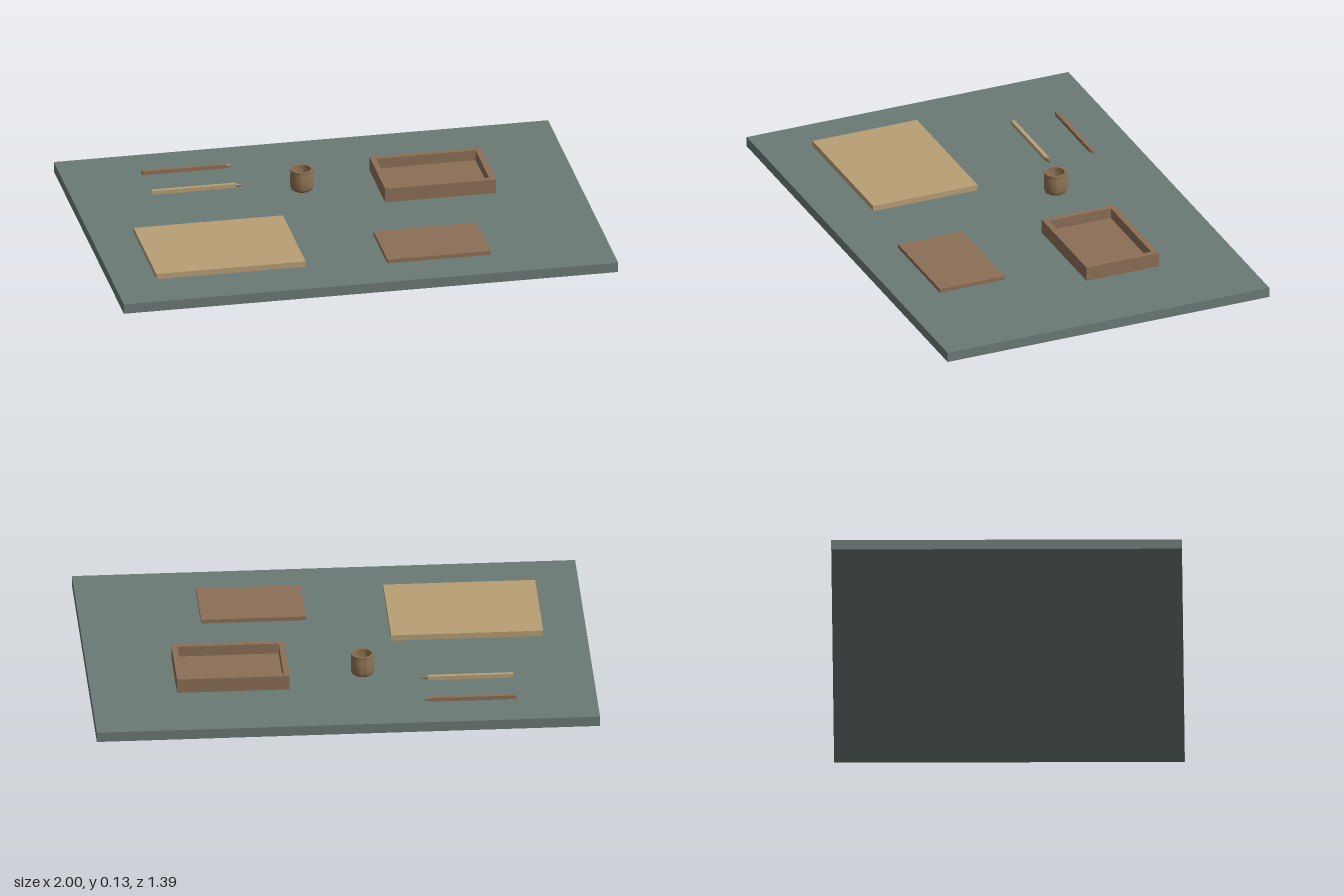
import * as THREE from 'three';
import { toCreasedNormals } from 'three/addons/utils/BufferGeometryUtils.js';

const BOARD_TOP = 0.041;

function material(name, color) {
  const m = new THREE.MeshStandardMaterial({ color });
  m.name = name;
  return m;
}

export function createModel() {
  const slate = material('slate', 0x6b7a76);
  const tan = material('tan', 0xb89f75);
  const brown = material('brown', 0x8b6f56);
  const clay = material('clay', 0x8a6f50);

  const model = new THREE.Group();
  model.name = 'deskSet';

  function add(parent, name, geometry, mat, x = 0, y = 0, z = 0) {
    const mesh = new THREE.Mesh(geometry, mat);
    mesh.name = name;
    mesh.position.set(x, y, z);
    parent.add(mesh);
    return mesh;
  }

  // A box given by its x, y and z extents
  function slab(name, mat, [x0, x1], [y0, y1], [z0, z1]) {
    const geometry = new THREE.BoxGeometry(x1 - x0, y1 - y0, z1 - z0);
    return add(model, name, geometry, mat, (x0 + x1) / 2, (y0 + y1) / 2, (z0 + z1) / 2);
  }

  // Base and the two flat sheets
  slab('board', slate, [-1, 1], [0, BOARD_TOP], [-0.695, 0.695]);
  slab('largeSheet', tan, [-0.826, -0.222], [BOARD_TOP, 0.064], [0.035, 0.486]);
  slab('smallCard', brown, [0.102, 0.519], [BOARD_TOP, 0.057], [0.24, 0.52]);

  // Open tray: rectangular frame with a sunken floor
  const tray = new THREE.Group();
  tray.name = 'tray';
  tray.position.set(0.434, BOARD_TOP, -0.21);
  model.add(tray);
  const w = 0.224, d = 0.156, wall = 0.023;
  const rectangle = (a, b) => [[-a, -b], [a, -b], [a, b], [-a, b]].map(p => new THREE.Vector2(...p));
  const outline = new THREE.Shape(rectangle(w, d));
  outline.holes.push(new THREE.Path(rectangle(w - wall, d - wall).reverse()));
  const frame = new THREE.ExtrudeGeometry(outline, { depth: 0.059, bevelEnabled: false });
  frame.rotateX(-Math.PI / 2);
  add(tray, 'trayFrame', frame, brown);
  add(tray, 'trayFloor', new THREE.BoxGeometry(2 * (w - wall), 0.016, 2 * (d - wall)), brown, 0, 0.008, 0);

  // Hollow cup with a rounded foot and a thin neck
  const profile = [
    [0, 0], [0.036, 0], [0.042, 0.004], [0.0455, 0.012], [0.0465, 0.022],
    [0.0465, 0.066], [0.045, 0.07], [0.0455, 0.089],
    [0.036, 0.089], [0.036, 0.02], [0.03, 0.012], [0, 0.012],
  ].map(p => new THREE.Vector2(...p));
  const cup = toCreasedNormals(new THREE.LatheGeometry(profile, 32), 0.7);
  add(model, 'cup', cup, clay, -0.088, BOARD_TOP, -0.244);

  // Two slim pencils with pointed tips toward +x
  function pencil(name, mat, z) {
    const group = new THREE.Group();
    group.name = name;
    group.position.set(0, BOARD_TOP + 0.008, z);
    model.add(group);
    const body = new THREE.BoxGeometry(0.34, 0.016, 0.016);
    add(group, 'pencilBody', body, mat, -0.511, 0, 0);
    const tip = new THREE.ConeGeometry(0.008, 0.038, 12);
    tip.rotateZ(-Math.PI / 2);
    add(group, 'pencilTip', tip, brown, -0.322, 0, 0);
  }
  pencil('brownPencil', brown, -0.507);
  pencil('tanPencil', tan, -0.317);

  return model;
}
